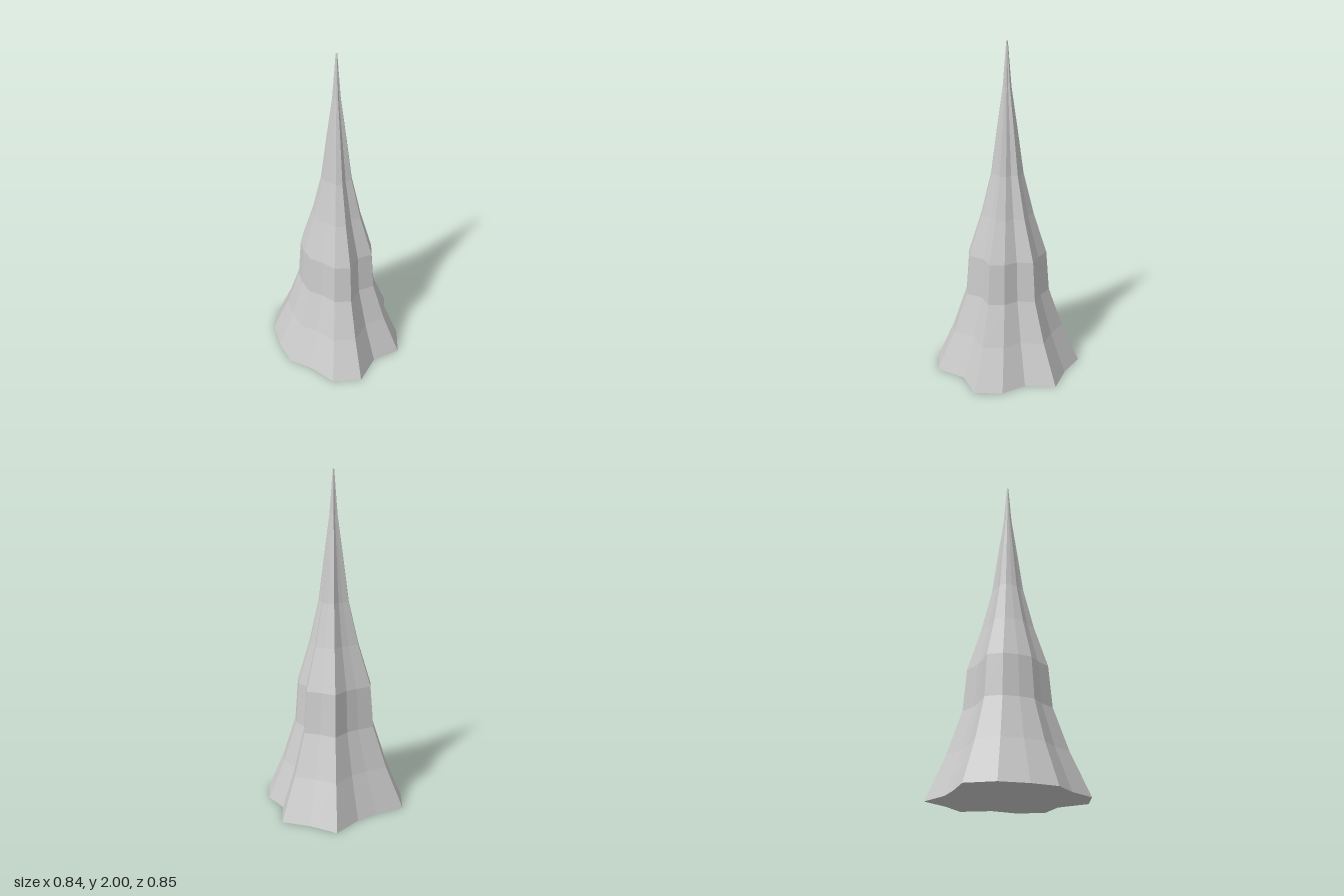
import * as THREE from 'three';

// Footprint radius every 22.5 degrees, from the front (+z) round towards +x
const RADII = [0.406, 0.374, 0.443, 0.457, 0.356, 0.439, 0.399, 0.338,
  0.443, 0.398, 0.454, 0.341, 0.35, 0.448, 0.428, 0.4];
// Footprint scale at each level, from the base up to the tip
const TAPER = [1, 0.755, 0.567, 0.522, 0.345, 0.21, 0.135, 0.055, 0.01];
const HEIGHT = 2;
const SIDES = RADII.length;
const LEVELS = TAPER.length - 1;

export function createModel() {
  const group = new THREE.Group();
  group.name = 'stalagmite';

  // Capped unit cylinder reshaped into a fluted, tapering rock spike
  const geometry = new THREE.CylinderGeometry(1, 1, HEIGHT, SIDES, LEVELS);
  geometry.translate(0, HEIGHT / 2, 0);
  const pos = geometry.attributes.position;
  for (let i = 0; i < pos.count; i++) {
    const x = pos.getX(i), y = pos.getY(i), z = pos.getZ(i);
    const side = Math.round(Math.atan2(x, z) / (2 * Math.PI) * SIDES + SIDES) % SIDES;
    const scale = RADII[side] * TAPER[Math.round(y / HEIGHT * LEVELS)];
    pos.setXYZ(i, x * scale, y, z * scale);
  }
  geometry.translate(-0.004, 0, 0.016);
  geometry.computeVertexNormals();

  const material = new THREE.MeshStandardMaterial({ color: 0xcccccc, flatShading: true });
  const spike = new THREE.Mesh(geometry, material);
  spike.name = 'rockSpike';
  group.add(spike);
  return group;
}
